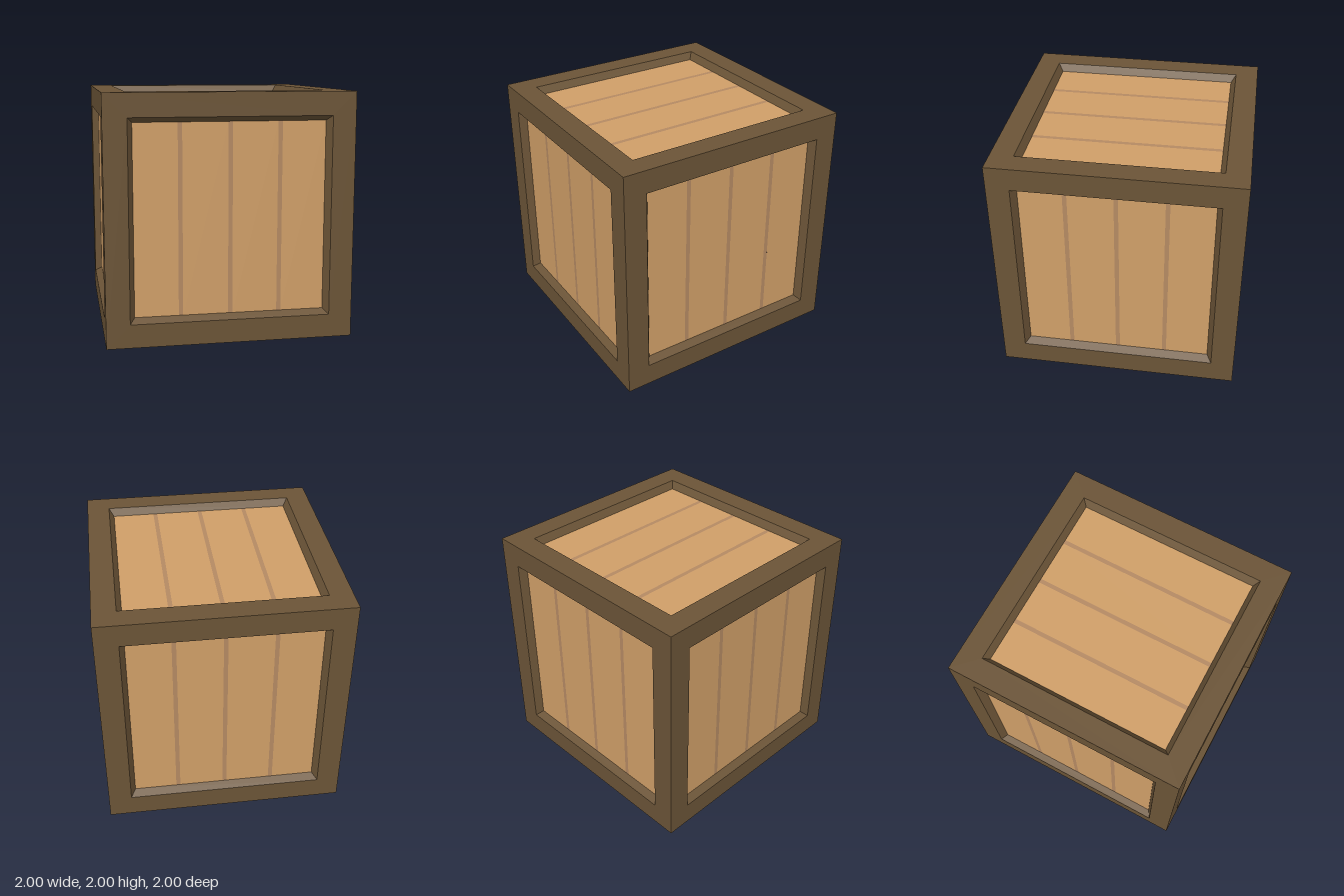
import * as THREE from 'three';

const OPENING = 0.81; // half width of the frame opening at the surface
const INNER = 0.77;   // half width of the recessed panel
const DEPTH = 0.06;   // how far the panel is sunk
const SEAM = 0.035;   // width of a seam between boards

const frameMaterial = new THREE.MeshStandardMaterial({ color: 0x6b5437, flatShading: true });
const boardMaterial = new THREE.MeshStandardMaterial({ color: 0xd09f68 });
const seamMaterial = new THREE.MeshStandardMaterial({ color: 0xb58a63 });

// Flat square rim with a bevel sloping down to the panel: a four-sided lathe
const profile = [[1, 1], [OPENING, 1], [INNER, 1 - DEPTH]]
  .map(([half, y]) => new THREE.Vector2(half * Math.SQRT2, y));
const frameGeometry = new THREE.LatheGeometry(profile, 4).rotateY(Math.PI / 4);

// Flat strip on the panel from x0 to x1, running along z
function strip(name, x0, x1, material) {
  const geometry = new THREE.PlaneGeometry(x1 - x0, INNER * 2)
    .rotateX(-Math.PI / 2)
    .translate((x0 + x1) / 2, 1 - DEPTH, 0);
  const mesh = new THREE.Mesh(geometry, material);
  mesh.name = name;
  return mesh;
}

// One side of the crate, facing +y
function createSide(name) {
  const side = new THREE.Group();
  side.name = name;
  const frame = new THREE.Mesh(frameGeometry, frameMaterial);
  frame.name = 'frame';
  side.add(frame);

  // Four boards separated by three seams
  let start = -INNER;
  for (const x of [-0.4, 0, 0.4]) {
    side.add(strip('board', start, x - SEAM / 2, boardMaterial));
    side.add(strip('seam', x - SEAM / 2, x + SEAM / 2, seamMaterial));
    start = x + SEAM / 2;
  }
  side.add(strip('board', start, INNER, boardMaterial));
  return side;
}

export function createModel() {
  const crate = new THREE.Group();
  crate.name = 'crate';
  const quarter = Math.PI / 2;

  // Tilt about x, then turn about y
  const sides = [
    ['topSide', 0, 0],
    ['bottomSide', 2, 0],
    ['frontSide', 1, 0],
    ['leftSide', 1, 1],
    ['backSide', 1, 2],
    ['rightSide', 1, 3],
  ];
  for (const [name, tilt, turn] of sides) {
    const side = createSide(name);
    side.rotation.set(tilt * quarter, turn * quarter, 0, 'YXZ');
    side.position.y = 1;
    crate.add(side);
  }
  return crate;
}
